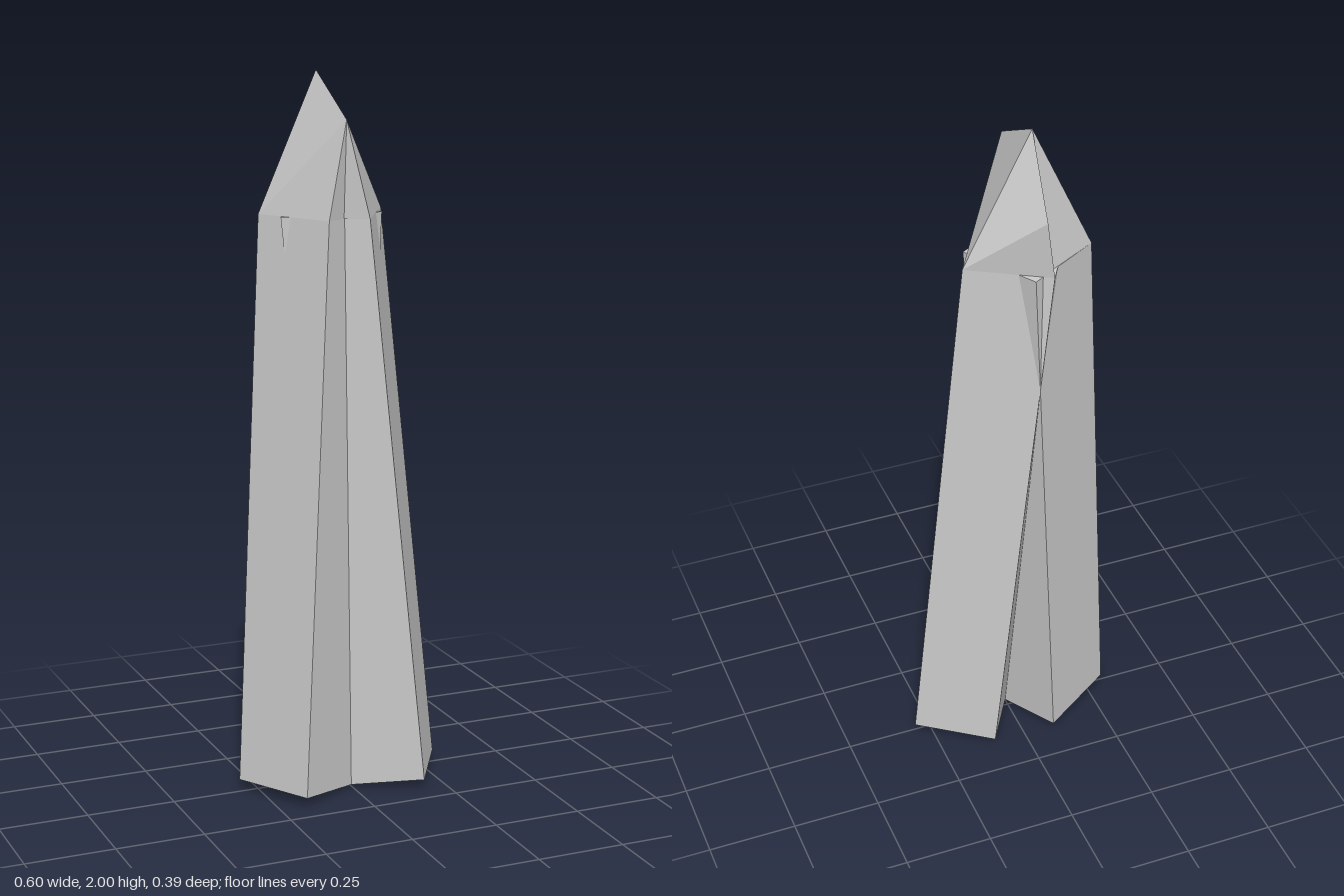
import * as THREE from 'three';

// Flat-shaded mesh from corner points and triangle index triples
function facetMesh(name, points, triangles) {
  const geometry = new THREE.BufferGeometry();
  const positions = triangles.flat().flatMap((i) => points[i]);
  geometry.setAttribute('position', new THREE.Float32BufferAttribute(positions, 3));
  geometry.computeVertexNormals();
  const material = new THREE.MeshStandardMaterial({ color: 0xcccccc, flatShading: true });
  const mesh = new THREE.Mesh(geometry, material);
  mesh.name = name;
  return mesh;
}

// Leaning four-sided shaft; side -1 or +1 mirrors the footprint
const TOP = 1.62;
function shaft(name, side, leanX, leanZ) {
  // outer back, outer front, inner front, inner back: [x, z, bottom y]
  let foot = [[-0.3, -0.013, 0.03], [-0.178, 0.193, 0.03], [0.029, 0.069, 0], [-0.093, -0.137, 0.008]];
  if (side > 0) foot = foot.map(([x, z, y]) => [-x, z, y]).reverse();
  const points = [
    ...foot.map(([x, z, y]) => [x, y, z]),
    ...foot.map(([x, z]) => [x + leanX, TOP, z + leanZ]),
  ];
  const triangles = [[4, 5, 6], [4, 6, 7], [2, 1, 0], [3, 2, 0]];
  for (let i = 0; i < 4; i++) {
    const j = (i + 1) % 4;
    triangles.push([i, j, j + 4], [i, j + 4, i + 4]);
  }
  return facetMesh(name, points, triangles);
}

// Faceted point that closes the crossing shafts
function tip() {
  const p = {
    rightBack: [-0.21, TOP, -0.067],
    rightFront: [-0.088, TOP, 0.139],
    valley: [-0.032, TOP, 0.107],
    leftFront: [0.03, TOP, 0.139],
    leftBack: [0.152, TOP, -0.067],
    finFoot: [-0.055, TOP, -0.191],
    finRoot: [-0.05, TOP, -0.16],
    finTop: [-0.032, 1.79, -0.197],
    brow: [-0.035, 1.885, 0.131],
    peak: [-0.035, 2, -0.08],
  };
  const names = Object.keys(p);
  const faces = [
    // sloping sides
    'rightBack rightFront brow', 'rightBack brow peak',
    'leftBack brow leftFront', 'leftBack peak brow',
    // front
    'rightFront valley brow', 'valley leftFront brow',
    // back and the raised fin
    'peak leftBack finTop', 'finTop leftBack finFoot',
    'peak finRoot rightBack', 'peak finTop finRoot', 'finTop finFoot finRoot',
  ];
  return facetMesh('tip', Object.values(p), faces.map((f) => f.split(' ').map((n) => names.indexOf(n))));
}

export function createModel() {
  const group = new THREE.Group();
  group.name = 'crystalSpire';
  group.add(
    shaft('rightShaft', -1, 0.09, -0.054),
    shaft('leftShaft', 1, -0.148, -0.054),
    tip(),
  );
  return group;
}
